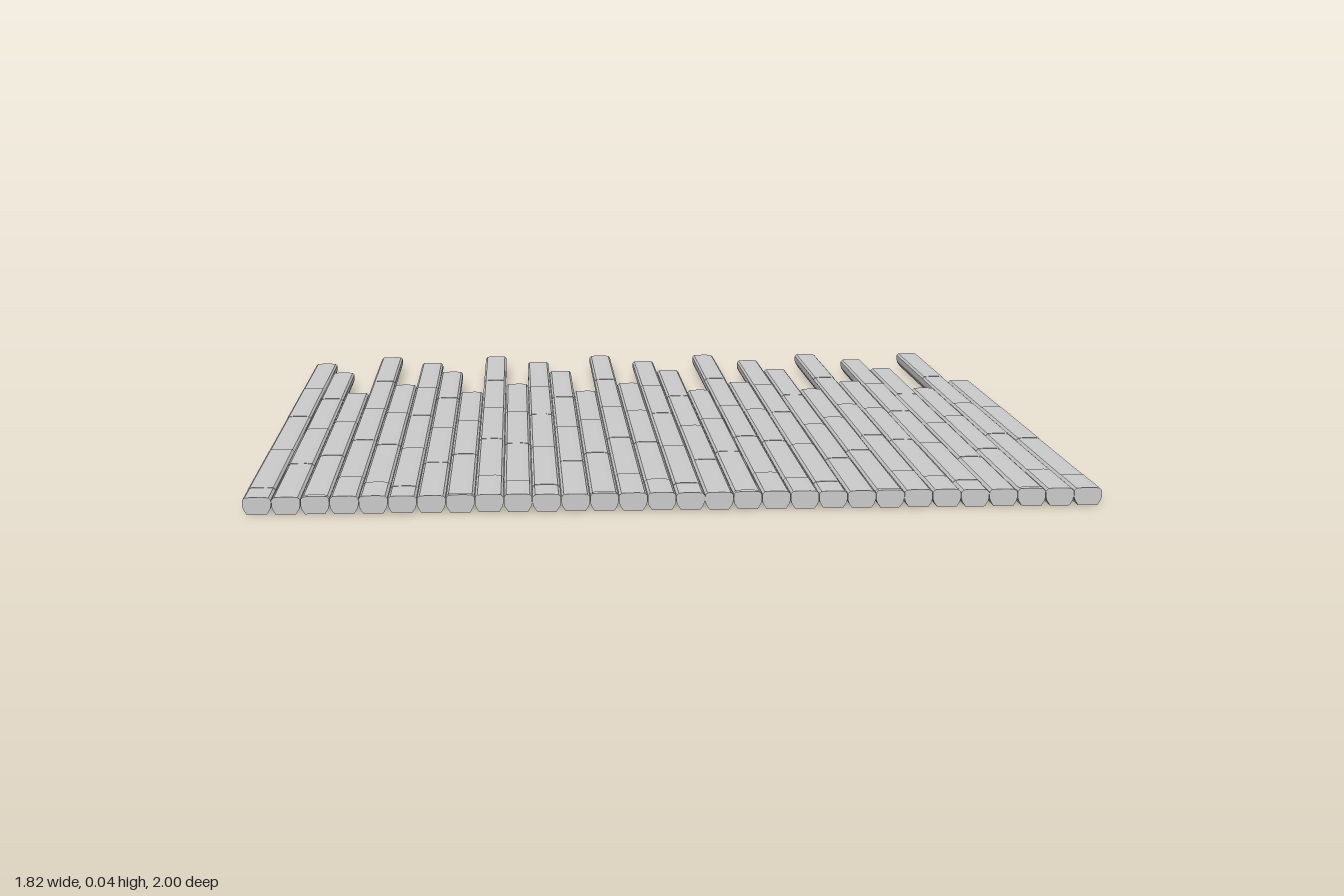
import * as THREE from 'three';

const GROUPS = 6, PITCH = 0.0607, BOARD = 0.447, FRONT = 1;
// staggered rear ends of the five plank rows, repeated across the floor
const REAR_ENDS = [-0.89, -0.71, -0.36, -1, -0.49];

// plank cross-section: nearly flat top with eased edges, tapered underside
function plankProfile(width, height) {
  const w = width / 2;
  const half = [[w - 0.009, 0], [w - 0.002, 0.011], [w, 0.018], [w, height - 0.006], [w - 0.005, height - 0.001], [w * 0.4, height]];
  const right = half.map(([x, y]) => new THREE.Vector2(x, y));
  const left = half.map(([x, y]) => new THREE.Vector2(-x, y)).reverse();
  return new THREE.Shape([...right, ...left]);
}

export function createModel() {
  const floor = new THREE.Group();
  floor.name = 'plankFloor';
  const material = new THREE.MeshStandardMaterial({ color: 0xcccccc });

  for (let g = 0; g < GROUPS; g++) {
    const section = new THREE.Group();
    section.name = `floorSection${g + 1}`;
    floor.add(section);
    REAR_ENDS.forEach((rear, row) => {
      const column = g * REAR_ENDS.length + row;
      const x = (column - (GROUPS * REAR_ENDS.length - 1) / 2) * PITCH;
      // boards laid end to end, the last one cut flush at the front
      for (let z = rear, i = 0; z < FRONT - 0.01; z += BOARD, i++) {
        const end = Math.min(z + BOARD, FRONT);
        const height = 0.037 + 0.001 * ((row + i) % 2);
        const geometry = new THREE.ExtrudeGeometry(plankProfile(PITCH - 0.001, height), {
          depth: end - z, bevelEnabled: false,
        });
        const board = new THREE.Mesh(geometry, material);
        board.name = `plankRow${row + 1}Board${i + 1}`;
        board.position.set(x, 0, z);
        section.add(board);
      }
    });
  }
  return floor;
}
